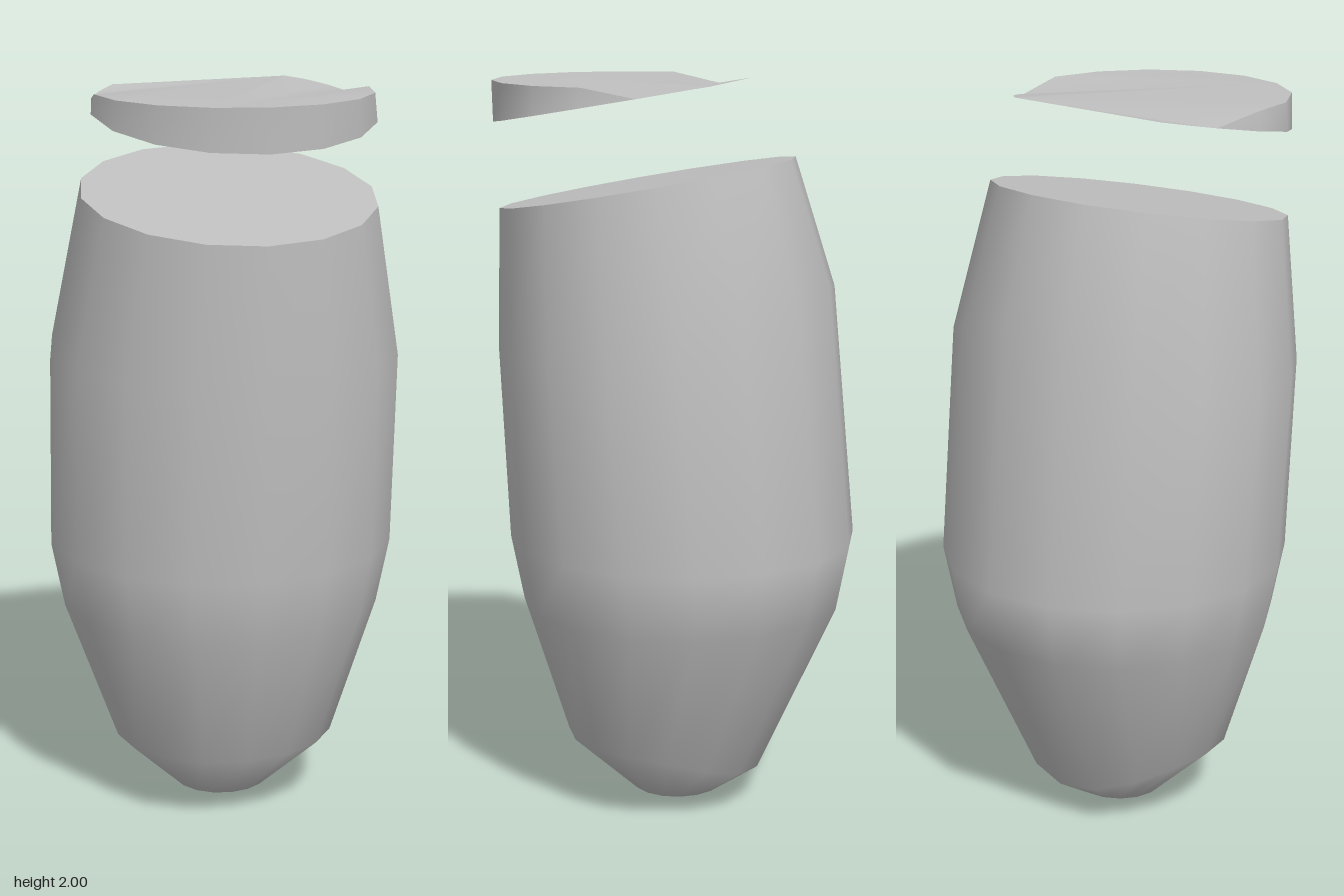
import * as THREE from 'three';

const grey = new THREE.MeshStandardMaterial({ color: 0xbfbfbf });
grey.name = 'plain grey';

function mesh(name, points, faces) {
  const g = new THREE.BufferGeometry();
  g.setAttribute('position', new THREE.Float32BufferAttribute(points.flat(), 3));
  g.setIndex(faces.flat());
  g.computeVertexNormals();
  const m = new THREE.Mesh(g, grey);
  m.name = name;
  return m;
}

// Skin between stacked rings of equal point count
function loft(name, rings, closed) {
  const n = rings[0].length, faces = [];
  for (let r = 0; r < rings.length - 1; r++) {
    for (let i = 0; i < (closed ? n : n - 1); i++) {
      const a = r * n + i, b = r * n + (i + 1) % n;
      faces.push([a, b, b + n], [a, b + n, a + n]);
    }
  }
  return mesh(name, rings.flat(), faces);
}

// Flat fan over a ring
function cap(name, ring, down = false) {
  const faces = [];
  for (let i = 1; i < ring.length - 1; i++) faces.push(down ? [0, i + 1, i] : [0, i, i + 1]);
  return mesh(name, ring, faces);
}

export function createModel() {
  const model = new THREE.Group();
  model.name = 'cutCapsule';

  // Body: half width, front z, back z, front y, back y
  const sections = [
    [0.001, 0.001, -0.001, 0, 0],
    [0.13, 0.12, -0.13, 0.03, 0.03],
    [0.305, 0.30, -0.24, 0.2, 0.1],
    [0.44, 0.42, -0.46, 0.58, 0.58],
    [0.475, 0.455, -0.495, 0.76, 0.76],
    [0.475, 0.48, -0.43, 1.29, 1.47],
    [0.395, 0.48, -0.32, 1.655, 1.80],
  ];
  const rings = sections.map(([w, zf, zb, yf, yb], s) =>
    Array.from({ length: 16 }, (_, i) => {
      const a = i * Math.PI / 8, c = Math.cos(a);
      const z = (zf + zb) / 2 + c * (zf - zb) / 2;
      // the rim is a slanted plane; lower rings only shift at the back
      const t = s === sections.length - 1 ? (1 - c) / 2 : Math.max(0, -c) ** 2;
      return [w * Math.sin(a), yf + (yb - yf) * t, z];
    }));
  model.add(loft('body', rings, true));
  model.add(cap('bodyCutFace', rings[rings.length - 1]));

  // Lid: wedge slice with a slanted underside that runs out to a thin back edge
  const angles = [-135, -123, -112.5];
  for (let d = -90; d <= 90; d += 22.5) angles.push(d);
  angles.push(112.5, 123, 135, 144);
  const low = angles.map((d) => {
    const a = d * Math.PI / 180, z = 0.13 + 0.365 * Math.cos(a);
    return [0.375 * Math.sin(a), Math.min(2, 1.885 + (0.495 - z) * 0.175), z];
  });
  const high = angles.map((d, i) => {
    if (Math.abs(d) > 100) return low[i];
    const a = d * Math.PI / 180;
    return [0.366 * Math.sin(a), 2, 0.13 + 0.37 * Math.cos(a)];
  });
  const lid = new THREE.Group();
  lid.name = 'lid';
  lid.add(loft('lidWall', [low.slice(2, -3), high.slice(2, -3)], false));
  lid.add(cap('lidUnderside', low, true));

  // Lid top: two fans sharing the diagonal from back right to front left
  const split = angles.indexOf(-22.5);
  lid.add(cap('lidTopFirstFan', [high[high.length - 1], ...high.slice(0, split + 1)]));
  lid.add(cap('lidTopSecondFan', high.slice(split)));
  model.add(lid);
  return model;
}
